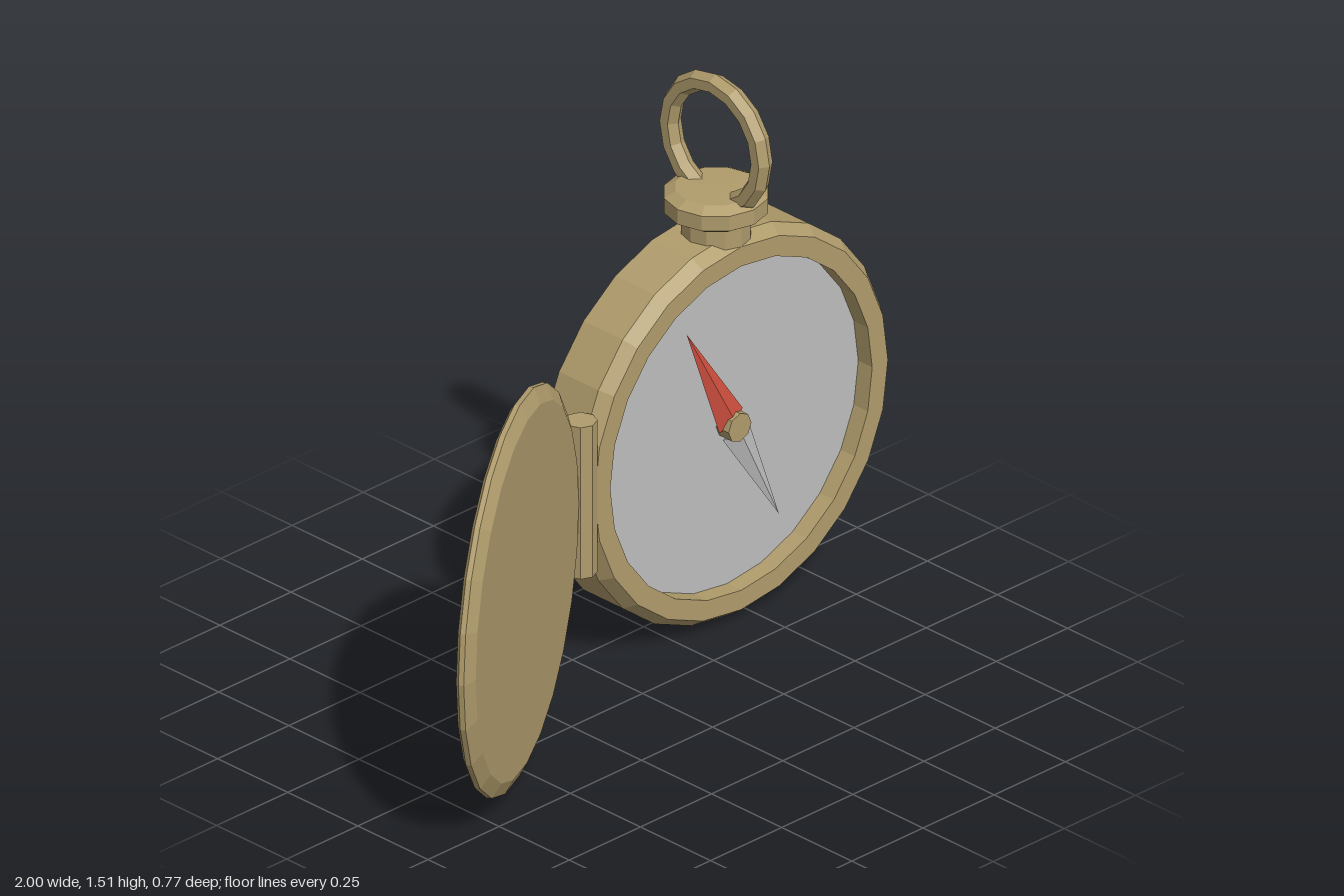
import * as THREE from 'three';

const material = (name, color) => {
  const m = new THREE.MeshStandardMaterial({ color });
  m.name = name;
  return m;
};

// faceted low-poly normals
function facet(geometry) {
  const g = geometry.index ? geometry.toNonIndexed() : geometry;
  g.computeVertexNormals();
  return g;
}

function part(parent, name, geometry, mat, x = 0, y = 0, z = 0) {
  const mesh = new THREE.Mesh(facet(geometry), mat);
  mesh.name = name;
  mesh.position.set(x, y, z);
  parent.add(mesh);
  return mesh;
}

const lathe = (profile, sides) =>
  new THREE.LatheGeometry(profile.map(([r, h]) => new THREE.Vector2(r, h)), sides);

export function createModel() {
  const brass = material('brass', 0xb09c6c);
  const silver = material('silver', 0xbebebe);
  const red = material('red', 0xd0503f);

  const model = new THREE.Group();
  model.name = 'pocketCompass';

  // round case with a recessed face
  const body = new THREE.Group();
  body.name = 'body';
  body.position.set(0.455, 0.545, -0.215);
  model.add(body);
  part(body, 'case', lathe([
    [0, -0.105], [0.485, -0.105], [0.54, -0.07], [0.54, 0.07],
    [0.515, 0.105], [0.46, 0.105], [0.46, 0.05],
  ], 24).rotateX(Math.PI / 2), brass);
  part(body, 'dial', new THREE.CircleGeometry(0.462, 24), silver, 0, 0, 0.055);

  // two-coloured needle on a small hub
  const needle = new THREE.Group();
  needle.name = 'needle';
  needle.position.z = 0.075;
  needle.rotation.z = 0.475;
  body.add(needle);
  const half = () => new THREE.ConeGeometry(0.046, 0.34, 4).translate(0, 0.185, 0).scale(1, 1, 0.4);
  part(needle, 'northNeedle', half(), red);
  part(needle, 'southNeedle', half().rotateZ(Math.PI), silver);
  part(body, 'hub', new THREE.CylinderGeometry(0.04, 0.04, 0.045, 8).rotateX(Math.PI / 2), brass, 0, 0, 0.078);

  // open lid, swung out on the hinge
  const lid = part(model, 'lid', lathe([
    [0, -0.022], [0.51, -0.022], [0.525, -0.012], [0.525, 0.002], [0.485, 0.022], [0, 0.022],
  ], 24).rotateX(Math.PI / 2), brass, -0.545, 0.545, 0.112);
  lid.rotation.y = Math.PI / 6;

  // hinge barrel
  part(model, 'hinge', new THREE.CylinderGeometry(0.042, 0.042, 0.43, 8), brass, -0.082, 0.545, -0.137);

  // neck and crown
  part(model, 'crown', lathe([
    [0, 1.05], [0.09, 1.05], [0.09, 1.125], [0.11, 1.125], [0.135, 1.14],
    [0.135, 1.182], [0.105, 1.198], [0, 1.2],
  ], 12), brass, 0.455, 0, -0.2);

  // hanging ring
  part(model, 'ring', new THREE.TorusGeometry(0.163, 0.028, 6, 16).rotateY(Math.PI / 2), brass, 0.455, 1.325, -0.2);

  return model;
}
